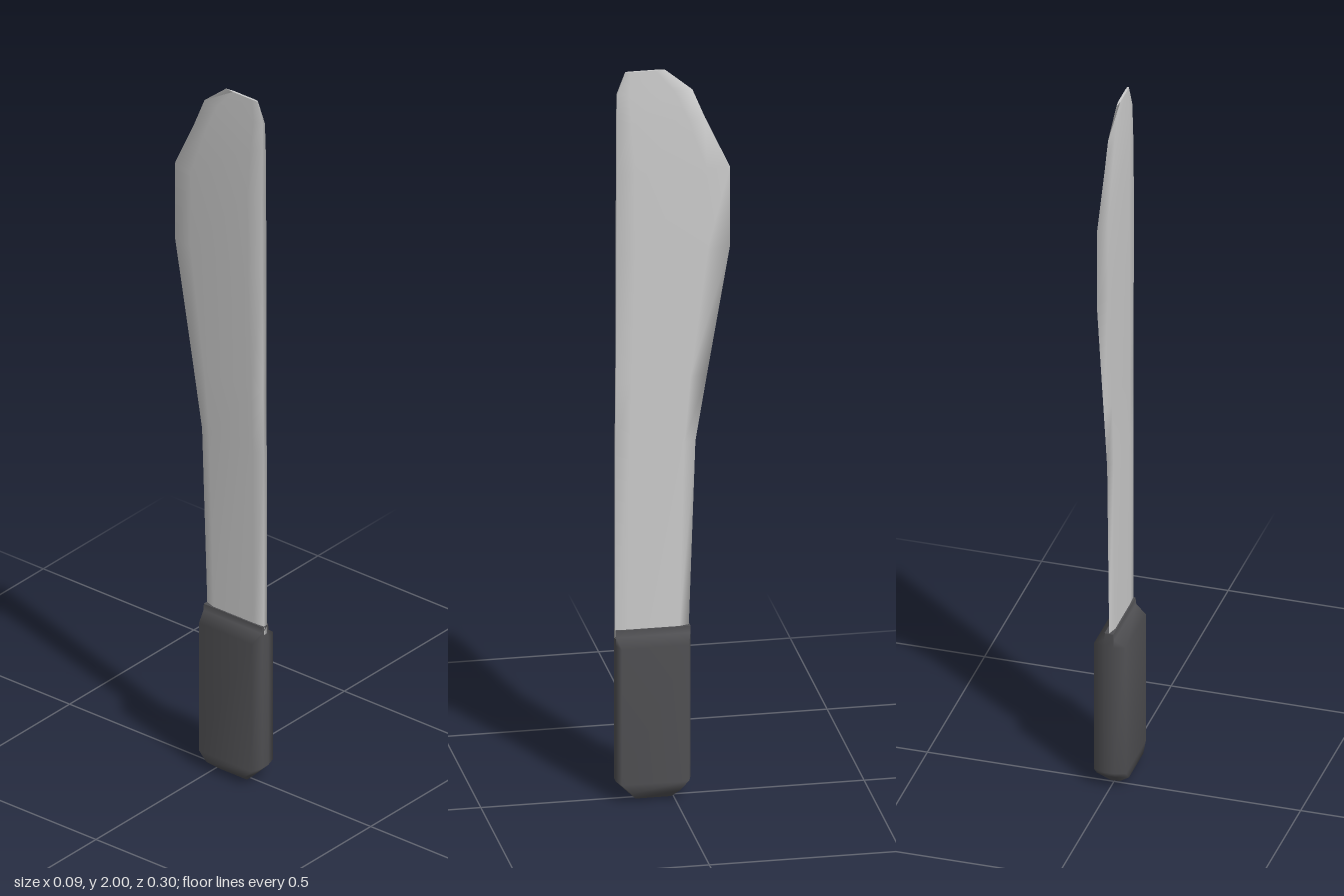
import * as THREE from 'three';

// Skins a stack of equal-length rings (counter-clockwise seen from above) and caps both ends.
function loft(rings) {
  const n = rings[0].length, last = rings.length - 1;
  const positions = [], index = [];
  rings.forEach(ring => ring.forEach(p => positions.push(...p)));
  for (let r = 0; r < last; r++) {
    for (let i = 0; i < n; i++) {
      const j = (i + 1) % n;
      const a = r * n + i, b = r * n + j;
      index.push(a, b, b + n, a, b + n, a + n);
    }
  }
  // Caps use their own vertices so their rims stay crisp
  for (const [ring, up] of [[rings[0], false], [rings[last], true]]) {
    const base = positions.length / 3;
    ring.forEach(p => positions.push(...p));
    for (let k = 1; k < n - 1; k++) {
      if (up) index.push(base, base + k, base + k + 1);
      else index.push(base, base + k + 1, base + k);
    }
  }
  const geometry = new THREE.BufferGeometry();
  geometry.setAttribute('position', new THREE.Float32BufferAttribute(positions, 3));
  geometry.setIndex(index);
  geometry.computeVertexNormals();
  return geometry;
}

// Mirrors the +x half of a section, given from spine to edge, into a full ring.
function mirrorRing(half, y) {
  const right = half.map(([x, z]) => [x, y, z]);
  const left = half.filter(([x]) => x > 0).reverse().map(([x, z]) => [-x, y, z]);
  return [...right, ...left];
}

export function createModel() {
  const group = new THREE.Group();
  group.name = 'machete';

  // Blade: blunt spine at +z, flat cheeks, bevel down to a sharp edge at -z
  const bladeStations = [
    // y, spine z, bevel start z, edge z, half thickness
    [0.44, 0.15, -0.015, -0.042, 0.008],
    [0.97, 0.15, -0.03, -0.06, 0.008],
    [1.15, 0.148, -0.045, -0.09, 0.009],
    [1.5, 0.147, -0.09, -0.15, 0.011],
    [1.72, 0.146, -0.088, -0.15, 0.011],
    [1.86, 0.146, -0.04, -0.085, 0.009],
    [1.94, 0.145, -0.005, -0.052, 0.006],
    [2.0, 0.123, 0.045, 0.02, 0.003],
  ];
  const bladeRings = bladeStations.map(([y, spine, bevel, edge, t]) => mirrorRing([
    [t * 0.75, spine],
    [t, spine - (spine - bevel) * 0.2],
    [t, bevel],
    [0, edge],
  ], y));
  const blade = new THREE.Mesh(loft(bladeRings),
    new THREE.MeshStandardMaterial({ color: 0xcccccc }));
  blade.name = 'blade';
  group.add(blade);

  // Handle: chamfered grip with a tapered butt and sloped shoulders
  const handleStations = [
    // y, front z, back z, half width
    [0, 0.1, 0.005, 0.014],
    [0.025, 0.125, -0.02, 0.043],
    [0.05, 0.15, -0.045, 0.043],
    [0.425, 0.15, -0.045, 0.043],
    [0.447, 0.15, -0.045, 0.014],
    [0.465, 0.15, -0.045, 0.012],
  ];
  const handleRings = handleStations.map(([y, front, back, w]) => {
    const ridge = Math.min(w * 0.8, 0.012), inset = (w - ridge) * 0.32;
    return mirrorRing([
      [ridge, front],
      [w, front - inset],
      [w, back + inset],
      [ridge, back],
    ], y);
  });
  const handle = new THREE.Mesh(loft(handleRings),
    new THREE.MeshStandardMaterial({ color: 0x4f4f52 }));
  handle.name = 'handle';
  group.add(handle);

  return group;
}
